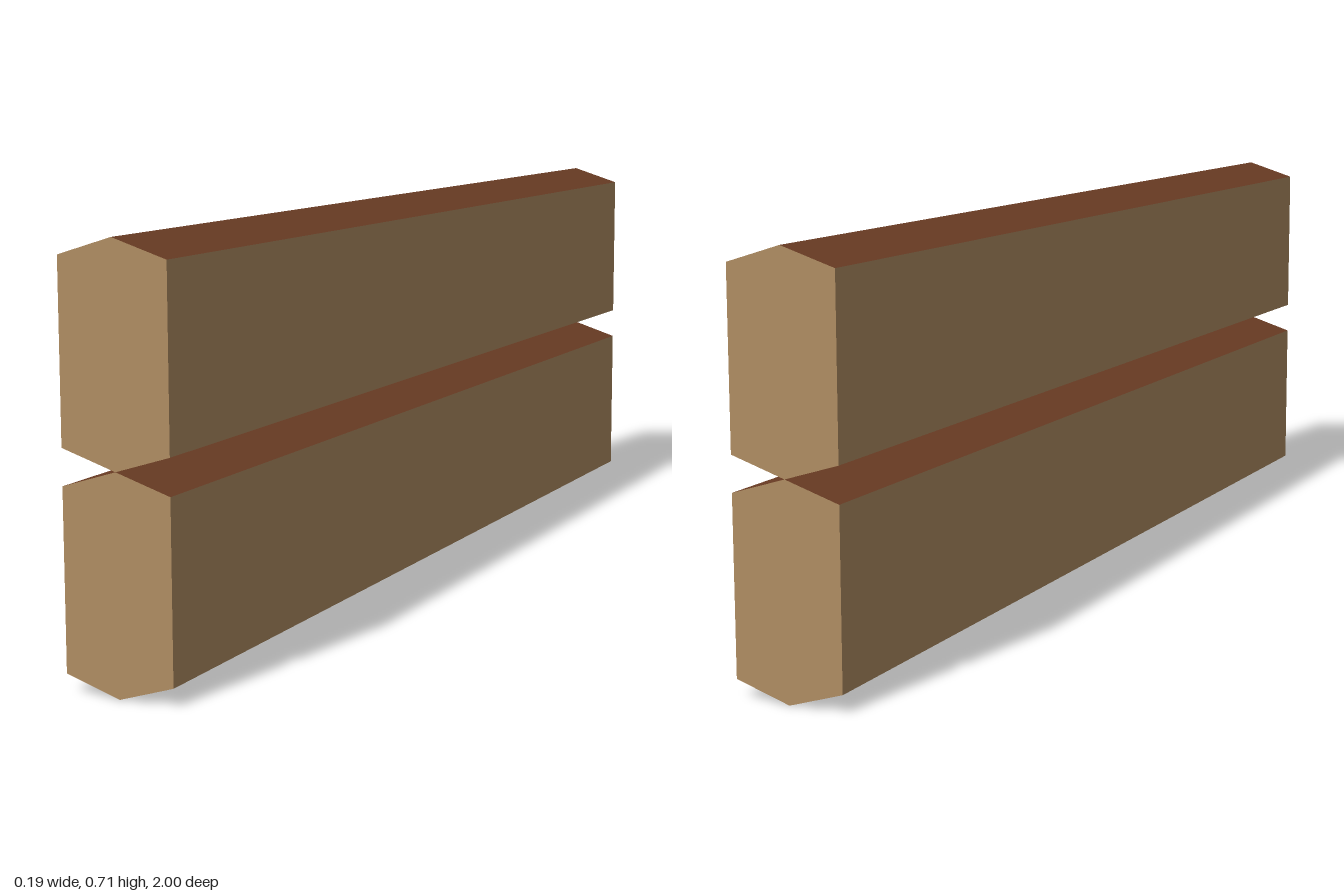
import * as THREE from 'three';

const W = 0.096;      // half width
const H = 0.357;      // beam height, ridge to ridge
const BEVEL = 0.03;   // rise of each sloped face
const LENGTH = 2;

const paleWood = new THREE.MeshStandardMaterial({ color: 0xb08d62 });
paleWood.name = 'pale wood';
const darkWood = new THREE.MeshStandardMaterial({ color: 0x6a3c24 });
darkWood.name = 'dark wood';

// Six-sided beam: pale sides and ends, dark sloped faces
function beamGeometry() {
  const profile = new THREE.Shape([
    [0, 0], [W, BEVEL], [W, H - BEVEL], [0, H], [-W, H - BEVEL], [-W, BEVEL],
  ].map(([x, y]) => new THREE.Vector2(x, y)));
  const geometry = new THREE.ExtrudeGeometry(profile, { depth: LENGTH, bevelEnabled: false });
  geometry.translate(0, 0, -LENGTH / 2);

  // Material 1 goes to the triangles that slope up or down
  geometry.clearGroups();
  const normal = geometry.attributes.normal;
  for (let i = 0; i < normal.count; i += 3) {
    geometry.addGroup(i, 3, Math.abs(normal.getY(i)) > 0.5 ? 1 : 0);
  }
  return geometry;
}

export function createModel() {
  const group = new THREE.Group();
  group.name = 'stackedBeams';
  const geometry = beamGeometry();
  ['lowerBeam', 'upperBeam'].forEach((name, i) => {
    const beam = new THREE.Mesh(geometry, [paleWood, darkWood]);
    beam.name = name;
    beam.position.y = i * H;
    group.add(beam);
  });
  return group;
}
